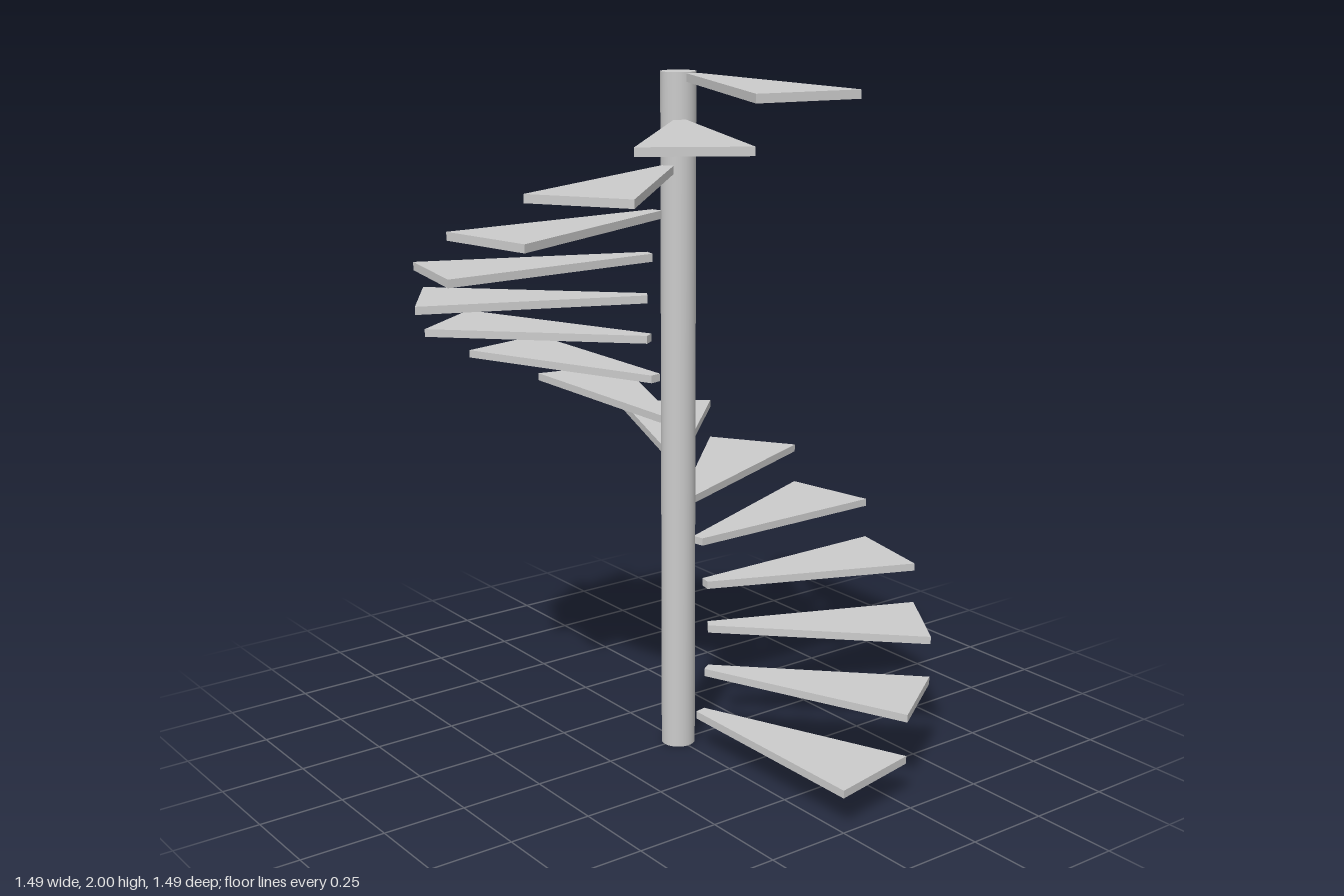
import * as THREE from 'three';

const STEPS = 16;
const RISE = 2 / STEPS;
const TURN = (Math.PI * 2) / STEPS;
const INNER = 0.09, OUTER = 0.747, THICK = 0.023;

// Wedge tread spanning one turn increment from +z towards +x, top face at y = 0
function treadGeometry() {
  const corner = (r, a) => new THREE.Vector2(r * Math.sin(a), -r * Math.cos(a));
  const shape = new THREE.Shape([
    corner(INNER, 0), corner(OUTER, 0), corner(OUTER, TURN), corner(INNER, TURN),
  ]);
  const geo = new THREE.ExtrudeGeometry(shape, { depth: THICK, bevelEnabled: false });
  return geo.rotateX(-Math.PI / 2).translate(0, -THICK, 0);
}

export function createModel() {
  const material = new THREE.MeshStandardMaterial({ color: 0xcccccc });
  const group = new THREE.Group();
  group.name = 'spiralStaircase';

  // Central pole
  const pole = new THREE.Mesh(new THREE.CylinderGeometry(0.05, 0.05, 2, 32), material);
  pole.name = 'centrePole';
  pole.position.y = 1;
  group.add(pole);

  // Treads winding up one full turn
  const geo = treadGeometry();
  for (let i = 0; i < STEPS; i++) {
    const tread = new THREE.Mesh(geo, material);
    tread.name = `tread${i + 1}`;
    tread.position.y = (i + 1) * RISE;
    tread.rotation.y = i * TURN;
    group.add(tread);
  }
  return group;
}
